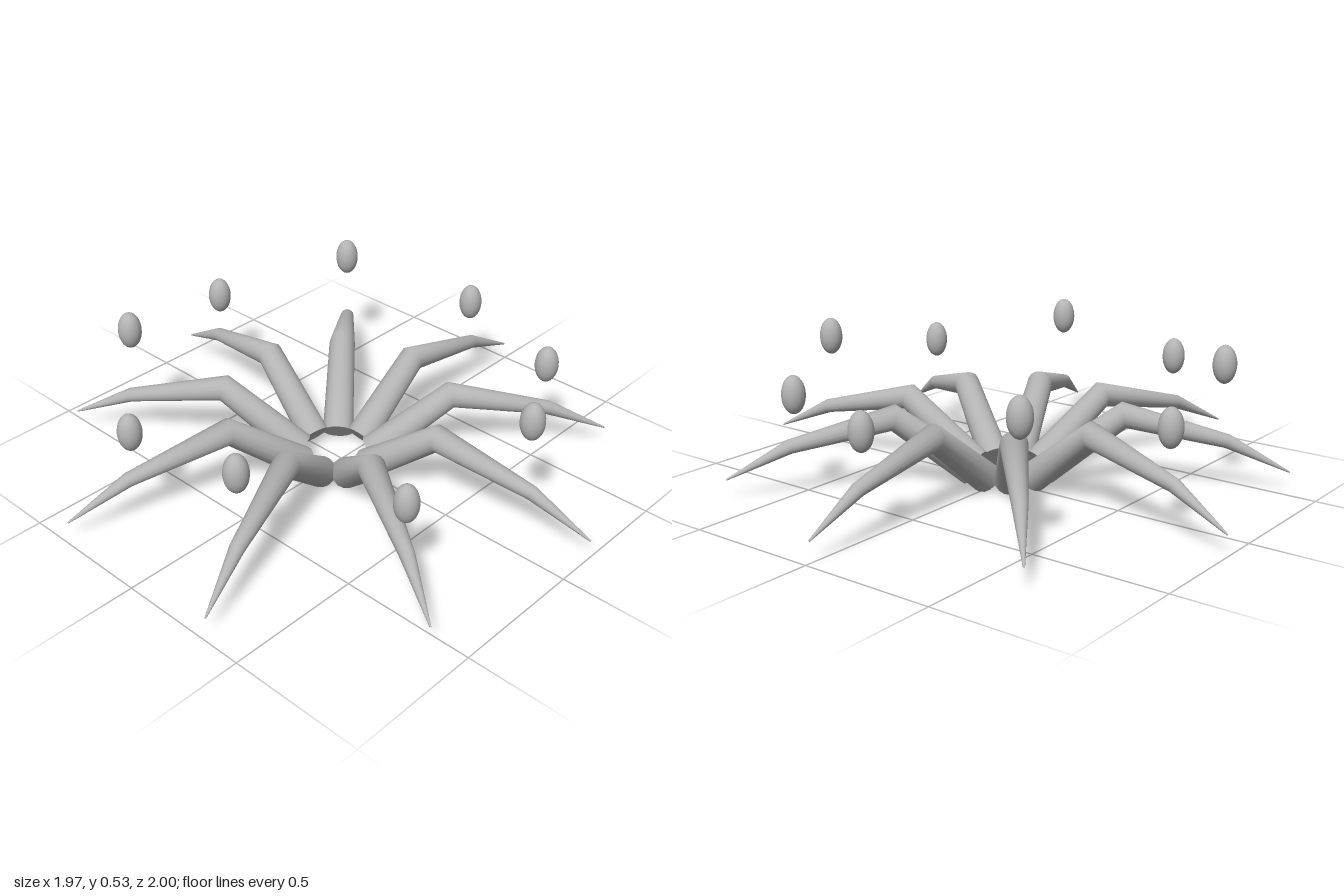
import * as THREE from 'three';

const COUNT = 9;
const SIDES = 16;

// Tapered, bent limb in the XY plane: rings swept along a polyline, with a flat inner cap
function limbGeometry() {
  const path = [ // radius from centre, height, thickness
    [0.135, 0.043, 0.057],
    [0.42, 0.262, 0.049],
    [0.79, 0.178, 0.026],
    [1.015, 0.071, 0.003],
  ];
  const pts = path.map(([x, y]) => new THREE.Vector2(x, y));
  const dir = (i) => pts[i + 1].clone().sub(pts[i]).normalize();
  const last = pts.length - 1;
  const pos = [], index = [];

  const addRing = (i) => {
    const t = i === 0 ? dir(0) : i === last ? dir(last - 1) : dir(i - 1).add(dir(i)).normalize();
    const r = path[i][2];
    for (let j = 0; j < SIDES; j++) {
      const a = (j / SIDES) * Math.PI * 2;
      const n = Math.cos(a) * r;
      pos.push(pts[i].x - t.y * n, pts[i].y + t.x * n, Math.sin(a) * r);
    }
  };

  for (let i = 0; i <= last; i++) addRing(i);
  for (let i = 0; i < last; i++) {
    for (let j = 0; j < SIDES; j++) {
      const k = (j + 1) % SIDES;
      const a = i * SIDES + j, b = i * SIDES + k, c = a + SIDES, d = b + SIDES;
      index.push(a, b, c, b, d, c);
    }
  }

  // Inner cap uses its own ring so its rim stays sharp
  const start = pos.length / 3;
  addRing(0);
  const centre = pos.length / 3;
  pos.push(pts[0].x, pts[0].y, 0);
  for (let j = 0; j < SIDES; j++) index.push(centre, start + (j + 1) % SIDES, start + j);

  const g = new THREE.BufferGeometry();
  g.setAttribute('position', new THREE.Float32BufferAttribute(pos, 3));
  g.setIndex(index);
  g.computeVertexNormals();
  return g;
}

export function createModel() {
  const model = new THREE.Group();
  model.name = 'radialLimbs';
  const grey = new THREE.MeshStandardMaterial({ color: 0xb4b4b4 });
  grey.name = 'grey';

  const limbGeo = limbGeometry();
  const beadGeo = new THREE.SphereGeometry(0.043, 24, 16).scale(1, 1.63, 1);

  // Nine limbs, each with a bead floating over it at alternating heights
  for (let i = 0; i < COUNT; i++) {
    const arm = new THREE.Group();
    arm.name = `arm${i + 1}`;
    arm.rotation.y = (i / COUNT) * Math.PI * 2;

    const limb = new THREE.Mesh(limbGeo, grey);
    limb.name = 'limb';

    const bead = new THREE.Mesh(beadGeo, grey);
    bead.name = 'floatingBead';
    bead.position.set(0.768, i % 2 ? 0.46 : 0.367, 0);

    arm.add(limb, bead);
    model.add(arm);
  }

  // An odd count is lopsided, so shift it to centre the bounds
  model.position.x = -0.031;
  return model;
}
